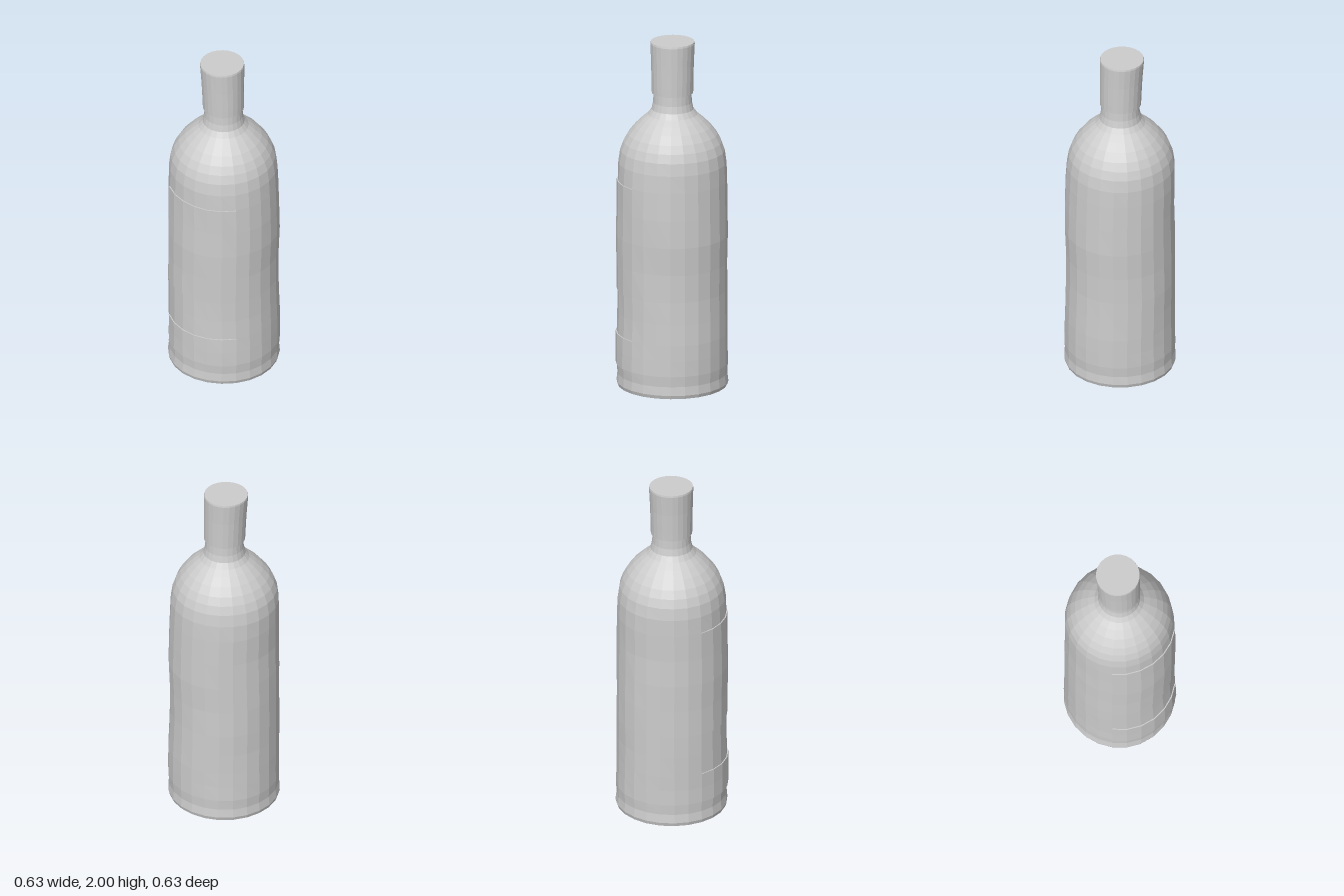
import * as THREE from 'three';

const SIDES = 24;

// Gentle hand-made unevenness, driven by position so neighbouring parts stay aligned
function wobble(geometry) {
  const p = geometry.attributes.position;
  for (let i = 0; i < p.count; i++) {
    const x = p.getX(i), y = p.getY(i), z = p.getZ(i);
    const s = 1 + 0.008 * Math.sin(9 * x + 7 * y) * Math.cos(8 * z - 5 * y);
    const lean = -0.01 * Math.max(0, y - 1.5) / 0.5;
    p.setXYZ(i, x * s + lean + 0.003 * Math.sin(y * 8), y, z * s);
  }
  geometry.computeVertexNormals();
  return geometry;
}

function turned(name, profile, material, start = 0, length = Math.PI * 2) {
  const points = profile.map(([r, y]) => new THREE.Vector2(r, y));
  const sides = Math.round(SIDES * length / (Math.PI * 2));
  const mesh = new THREE.Mesh(wobble(new THREE.LatheGeometry(points, sides, start, length)), material);
  mesh.name = name;
  return mesh;
}

export function createModel() {
  const group = new THREE.Group();
  group.name = 'bottle';
  const grey = new THREE.MeshStandardMaterial({ color: 0xcccccc, flatShading: true });
  grey.name = 'plain grey';

  // Straight wall of the body, also followed by the labels
  const wall = [
    [0.313, 0.13], [0.312, 0.22], [0.311, 0.31], [0.309, 0.43], [0.309, 0.56],
    [0.309, 0.72], [0.311, 0.88], [0.309, 1.04], [0.308, 1.2],
  ];

  // Body with hollowed base, domed shoulder and neck
  group.add(turned('body', [
    [0, 0.07], [0.12, 0.062], [0.22, 0.045], [0.275, 0.025], [0.292, 0.004], [0.308, 0],
    [0.314, 0.02], [0.309, 0.07], ...wall,
    [0.304, 1.3], [0.293, 1.37], [0.275, 1.42], [0.25, 1.465], [0.215, 1.51],
    [0.175, 1.55], [0.14, 1.58], [0.118, 1.61], [0.109, 1.65], [0.105, 1.72],
  ], grey));

  // Stopper sleeve over the neck, with a closed top
  group.add(turned('cap', [
    [0.1, 1.71], [0.116, 1.705], [0.117, 1.75], [0.12, 1.87], [0.125, 1.99], [0.123, 2], [0, 2],
  ], grey));

  // Thin curved labels across the front
  const label = (name, rows) => {
    const profile = [rows[0], ...rows.map(([r, y]) => [r + 0.006, y]), rows[rows.length - 1]];
    group.add(turned(name, profile, grey, -Math.PI / 4, Math.PI / 2));
  };
  label('lowerLabel', wall.slice(0, 3));
  label('mainLabel', wall.slice(4));

  return group;
}
